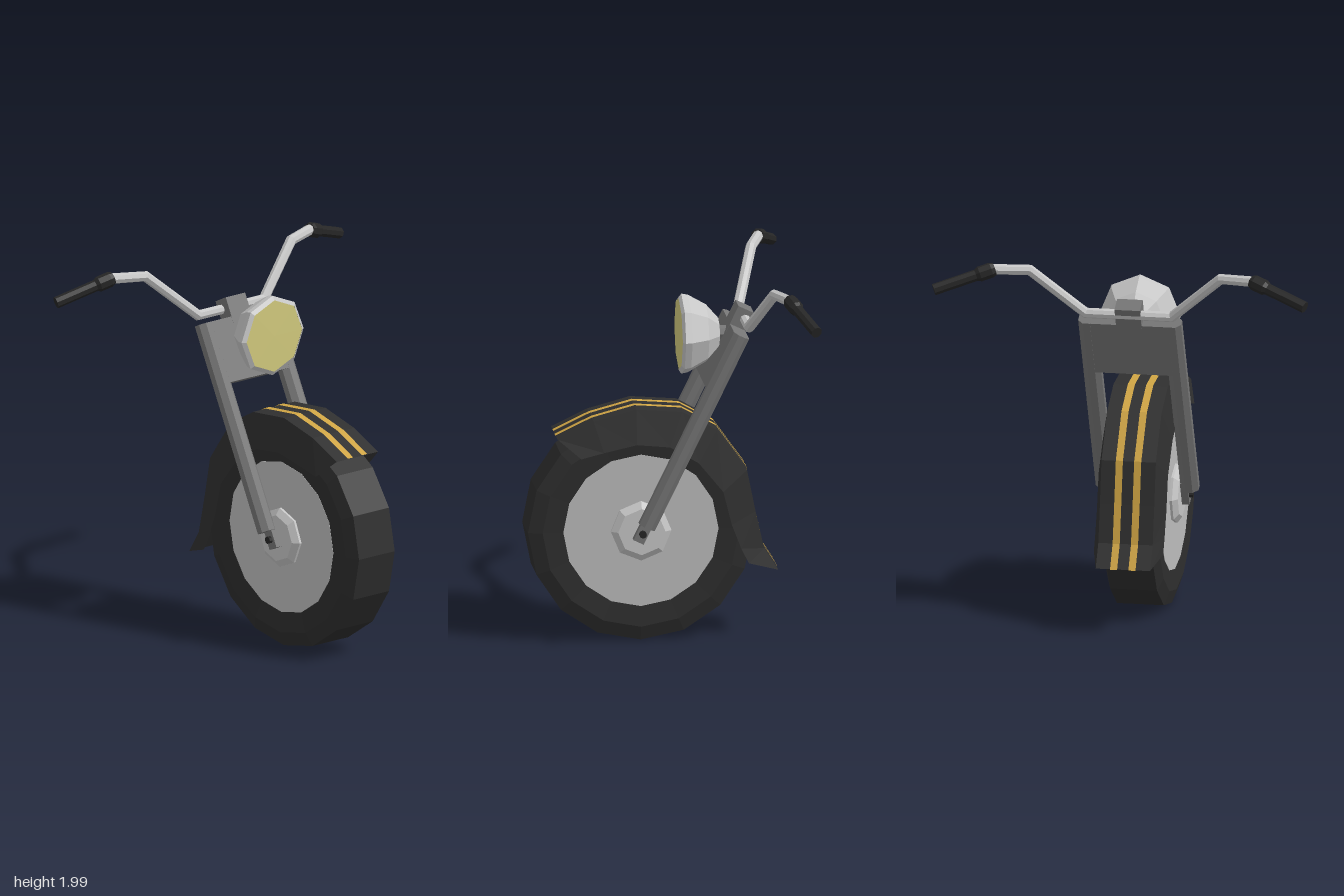
import * as THREE from 'three';

const mat = (name, color, side = THREE.FrontSide) => {
  const m = new THREE.MeshStandardMaterial({ color, side });
  m.name = name;
  return m;
};

// Faceted normals for the low-poly look
const flat = (g) => {
  const f = g.index ? g.toNonIndexed() : g;
  f.computeVertexNormals();
  return f;
};

// Polyline with mitred corners, for bent tubes
class Polyline extends THREE.Curve {
  constructor(points) { super(); this.points = points; }
  getPoint(t, out = new THREE.Vector3()) {
    const n = this.points.length - 1;
    const i = Math.min(Math.floor(t * n + 1e-6), n - 1);
    return out.lerpVectors(this.points[i], this.points[i + 1], t * n - i);
  }
  getPointAt(t, out) { return this.getPoint(t, out); }
  getTangentAt(t, out = new THREE.Vector3()) {
    const p = this.points, n = p.length - 1, i = Math.round(t * n);
    out.set(0, 0, 0);
    if (i > 0) out.add(p[i].clone().sub(p[i - 1]).normalize());
    if (i < n) out.add(p[i + 1].clone().sub(p[i]).normalize());
    return out.normalize();
  }
}

// Skin between two matching rails of points
function ribbon(a, b) {
  const pos = [];
  for (let i = 0; i < a.length - 1; i++) {
    for (const p of [a[i], b[i], b[i + 1], a[i], b[i + 1], a[i + 1]]) pos.push(...p);
  }
  const g = new THREE.BufferGeometry();
  g.setAttribute('position', new THREE.Float32BufferAttribute(pos, 3));
  g.computeVertexNormals();
  return g;
}

export function createModel() {
  const root = new THREE.Group();
  root.name = 'motorcycleFrontEnd';
  const tyreBlack = mat('tyre black', 0x2d2d2d);
  const fenderBlack = mat('fender black', 0x2f2f2f, THREE.DoubleSide);
  const gold = mat('stripe gold', 0xd0a544, THREE.DoubleSide);
  const rimGrey = mat('rim grey', 0xbcbcbc);
  const chrome = mat('chrome', 0xc6c6c6);
  const forkGrey = mat('fork grey', 0x757575);
  const gripBlack = mat('grip black', 0x262626);
  const lensYellow = mat('lens yellow', 0xd0c87c);

  const add = (name, geo, material, parent = root) => {
    const m = new THREE.Mesh(flat(geo), material);
    m.name = name;
    parent.add(m);
    return m;
  };
  const lathe = (pts, n) => new THREE.LatheGeometry(pts.map(([r, y]) => new THREE.Vector2(r, y)), n);
  const axle = new THREE.Vector3(0, 0.595, 0.13);

  // Wheel, spinning about x
  const wheel = new THREE.Group();
  wheel.name = 'wheel';
  wheel.position.copy(axle);
  wheel.rotation.z = -Math.PI / 2;
  root.add(wheel);
  add('tyre', lathe([[0.405, -0.14], [0.52, -0.15], [0.595, -0.125],
    [0.595, 0.125], [0.52, 0.15], [0.405, 0.14]], 16), tyreBlack, wheel);
  add('rim', new THREE.CylinderGeometry(0.41, 0.41, 0.284, 16), rimGrey, wheel);
  add('hub', lathe([[0, -0.18], [0.125, -0.18], [0.16, -0.155], [0.16, 0.155],
    [0.125, 0.18], [0, 0.18]], 8), chrome, wheel);
  add('axle', new THREE.CylinderGeometry(0.02, 0.02, 0.48, 8), gripBlack, wheel);

  // Fender: outer crown line and lower side edge as [z, y]
  const crown = [[0.57, 1.10], [0.38, 1.19], [0.155, 1.25], [-0.09, 1.23],
    [-0.27, 1.13], [-0.43, 0.905], [-0.475, 0.68], [-0.52, 0.48], [-0.595, 0.36]];
  const edge = [[0.45, 1.0], [0.33, 1.03], [0.155, 1.068], [-0.02, 1.05],
    [-0.17, 0.96], [-0.30, 0.80], [-0.345, 0.62], [-0.395, 0.49], [-0.435, 0.41]];
  const rail = (line, x, lift = 0) => line.map(([z, y]) => {
    const dz = z - axle.z, dy = y - axle.y, k = 1 + lift / Math.hypot(dz, dy);
    return [x, axle.y + dy * k, axle.z + dz * k];
  });
  add('fenderCrown', ribbon(rail(crown, -0.145), rail(crown, 0.145)), fenderBlack);
  add('fenderSideLeft', ribbon(rail(crown, 0.145), rail(edge, 0.185)), fenderBlack);
  add('fenderSideRight', ribbon(rail(edge, -0.185), rail(crown, -0.145)), fenderBlack);
  for (const s of [-1, 1]) {
    add('fenderStripe', ribbon(rail(crown, s * 0.049 - 0.019, 0.005),
      rail(crown, s * 0.049 + 0.019, 0.005)), gold);
  }

  // Fork, raked back about the axle
  const fork = new THREE.Group();
  fork.name = 'fork';
  fork.position.copy(axle);
  fork.rotation.x = -0.453;
  root.add(fork);
  for (const s of [-1, 1]) {
    const leg = new THREE.CylinderGeometry(0.0514, 0.0514, 1.14, 8);
    leg.rotateY(Math.PI / 8);
    leg.scale(1, 1, 0.94);
    add('forkLeg', leg, forkGrey, fork).position.set(s * 0.227, 0.615, 0);
    add('axleBracket', new THREE.BoxGeometry(0.04, 0.14, 0.06), forkGrey, fork)
      .position.set(s * 0.2, 0.02, 0);
  }
  add('forkPlate', new THREE.BoxGeometry(0.46, 0.335, 0.088), forkGrey, fork).position.y = 1.0175;
  add('handlebarClamp', new THREE.BoxGeometry(0.136, 0.15, 0.09), forkGrey, fork).position.y = 1.215;

  // Headlamp
  const lamp = new THREE.Group();
  lamp.name = 'headlamp';
  lamp.position.set(0, 1.617, 0);
  lamp.rotation.x = Math.PI / 2;
  root.add(lamp);
  add('lampShell', lathe([[0, -0.305], [0.08, -0.295], [0.155, -0.23], [0.21, -0.135],
    [0.217, -0.1], [0.195, -0.085]], 8), chrome, lamp);
  add('lampLens', lathe([[0.196, -0.087], [0, -0.085]], 8), lensYellow, lamp);
  add('lampMount', new THREE.CylinderGeometry(0.04, 0.04, 0.08, 8), forkGrey, lamp).position.y = -0.32;

  // Handlebar and grips
  const half = [[0.23, 1.70, -0.43], [0.51, 1.945, -0.53], [0.70, 1.955, -0.592]];
  const barPts = [...half.map(([x, y, z]) => [-x, y, z]).reverse(), ...half]
    .map((p) => new THREE.Vector3(...p));
  add('handlebar', new THREE.TubeGeometry(new Polyline(barPts), barPts.length - 1, 0.029, 8), chrome);
  for (const s of [-1, 1]) {
    const from = new THREE.Vector3(s * 0.685, 1.957, -0.588);
    const to = new THREE.Vector3(s * 0.99, 1.857, -0.695);
    const grip = add('grip', lathe([[0, 0], [0.034, 0], [0.041, 0.02], [0.041, 0.085],
      [0.031, 0.105], [0.031, from.distanceTo(to)], [0, from.distanceTo(to)]], 8), gripBlack);
    grip.position.copy(from);
    grip.quaternion.setFromUnitVectors(new THREE.Vector3(0, 1, 0), to.clone().sub(from).normalize());
  }
  return root;
}
